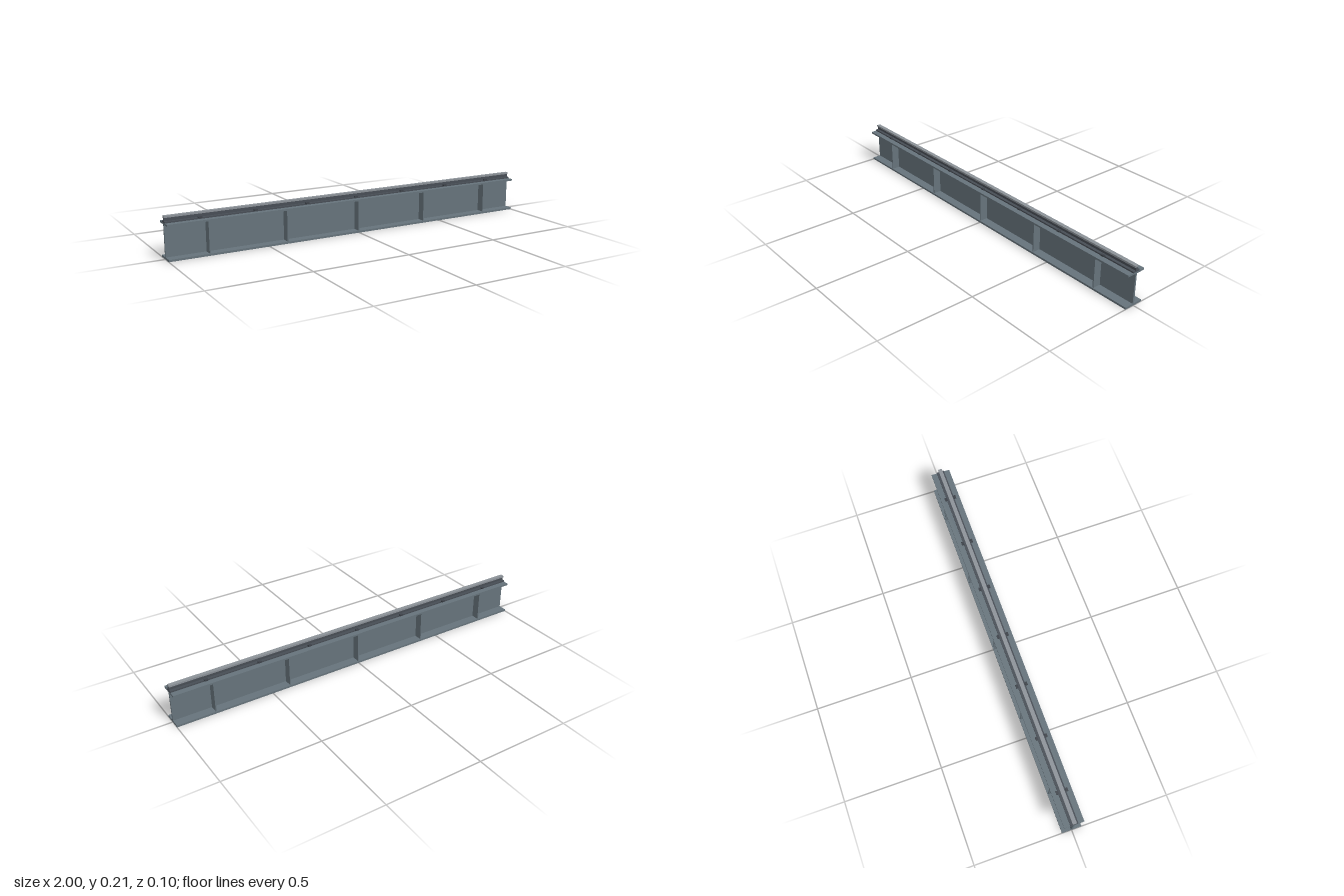
import * as THREE from 'three';

export function createModel() {
  const model = new THREE.Group();
  model.name = 'craneRunwayBeam';

  const material = (name, color) => {
    const m = new THREE.MeshStandardMaterial({ color });
    m.name = name;
    return m;
  };
  const steel = material('blue grey steel', 0x66737b);
  const darkSteel = material('dark rail steel', 0x474d55);
  const wornSteel = material('worn rail head', 0x8c9298);
  const clipSteel = material('clip steel', 0x3c4148);

  // Box given by its x centre and length, and its y and z ranges
  const addBox = (parent, name, mat, x, length, y0, y1, z0, z1) => {
    const mesh = new THREE.Mesh(new THREE.BoxGeometry(length, y1 - y0, z1 - z0), mat);
    mesh.position.set(x, (y0 + y1) / 2, (z0 + z1) / 2);
    mesh.name = name;
    parent.add(mesh);
  };
  const addGroup = (name) => {
    const group = new THREE.Group();
    group.name = name;
    model.add(group);
    return group;
  };

  // I-beam: two flanges and the web between them
  const beam = addGroup('beam');
  addBox(beam, 'bottomFlange', steel, 0, 2, 0, 0.01, -0.05, 0.05);
  addBox(beam, 'web', steel, 0, 2, 0.01, 0.165, -0.0045, 0.0045);
  addBox(beam, 'topFlange', steel, 0, 2, 0.165, 0.174, -0.05, 0.05);

  // Stiffener plates on both sides of the web
  const stiffeners = addGroup('stiffeners');
  for (const x of [-0.8, -0.4, 0, 0.4, 0.8]) {
    addBox(stiffeners, 'frontStiffener', steel, x, 0.006, 0.01, 0.165, 0.0045, 0.046);
    addBox(stiffeners, 'backStiffener', steel, x, 0.006, 0.01, 0.165, -0.046, -0.0045);
  }

  // Rail on top of the beam
  const rail = addGroup('rail');
  addBox(rail, 'railFoot', darkSteel, 0, 2, 0.174, 0.181, -0.02, 0.02);
  addBox(rail, 'railWeb', darkSteel, 0, 2, 0.181, 0.197, -0.005, 0.005);
  addBox(rail, 'railHead', wornSteel, 0, 2, 0.197, 0.206, -0.01, 0.01);

  // Clips gripping the edges of the rail foot
  const clips = addGroup('railClips');
  for (let i = 0; i < 7; i++) {
    const x = -0.835 + i * 0.2767;
    addBox(clips, 'frontClip', clipSteel, x, 0.018, 0.18, 0.187, 0.018, 0.03);
    addBox(clips, 'backClip', clipSteel, x, 0.018, 0.18, 0.187, -0.03, -0.018);
  }

  return model;
}
